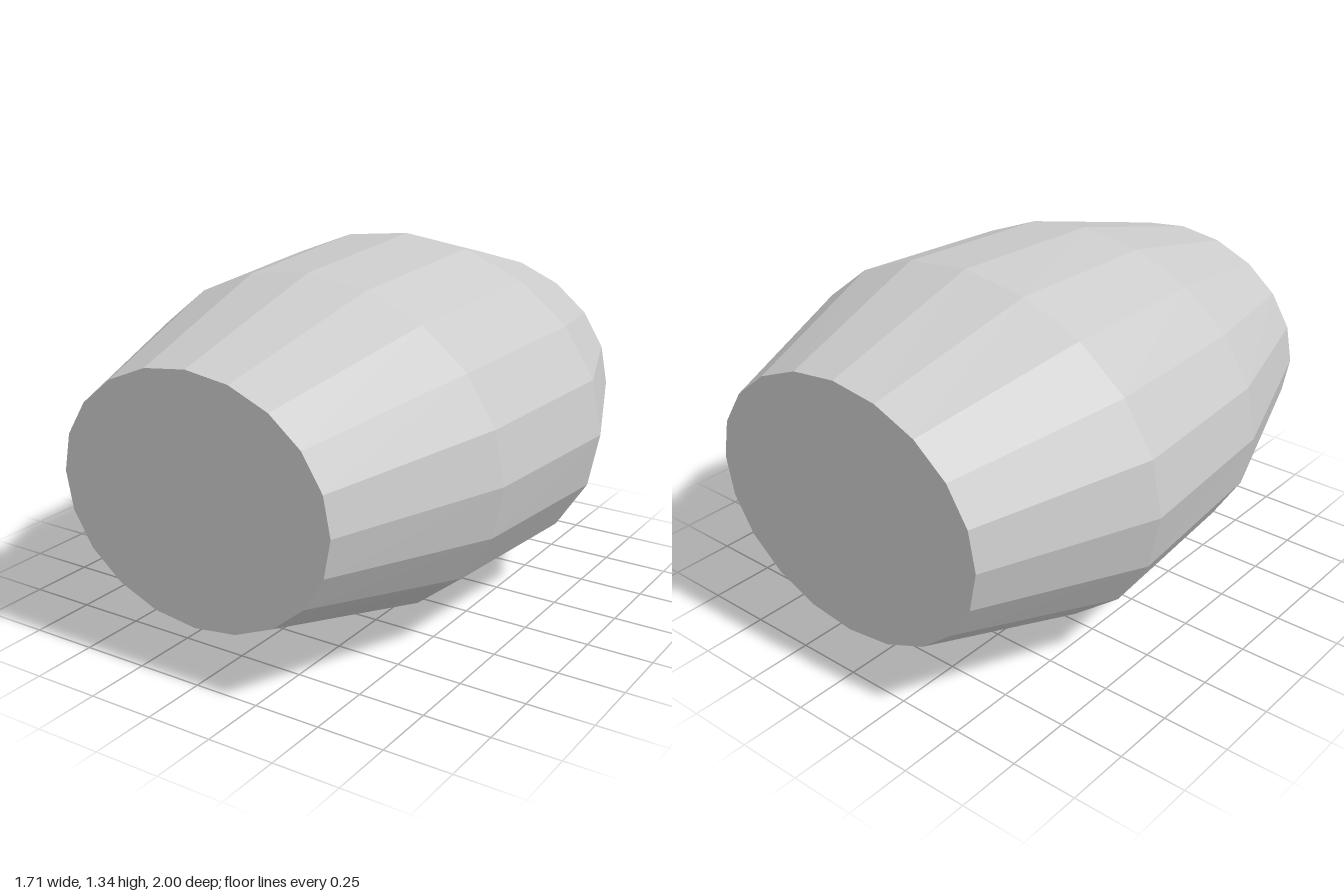
import * as THREE from 'three';

const SIDES = 20;
const CENTRE_Y = 0.674;

// Oval rings from back to front: [z, half width, half height]
const RINGS = [
  [-1, 0.6, 0.485],
  [-0.36, 0.853, 0.672],
  [0.315, 0.798, 0.639],
  [1, 0.555, 0.455],
];

export function createModel() {
  const group = new THREE.Group();
  group.name = 'barrel';

  // Closed profile: the rings, capped at both ends on the axis
  const profile = [[-1, 0, 0], ...RINGS, [1, 0, 0]];
  const lathe = new THREE.LatheGeometry(
    profile.map(([z, rx]) => new THREE.Vector2(rx, z)), SIDES);
  lathe.rotateX(Math.PI / 2);

  // Flatten each round ring to its own oval
  const pos = lathe.attributes.position;
  for (let i = 0; i < pos.count; i++) {
    const [, rx, ry] = profile[i % profile.length];
    pos.setY(i, rx > 0 ? pos.getY(i) * ry / rx : 0);
  }

  const geometry = lathe.toNonIndexed();
  geometry.computeVertexNormals();
  geometry.translate(0, CENTRE_Y, 0);

  const body = new THREE.Mesh(geometry,
    new THREE.MeshStandardMaterial({ color: 0xcccccc, flatShading: true }));
  body.name = 'barrelBody';
  group.add(body);
  return group;
}
